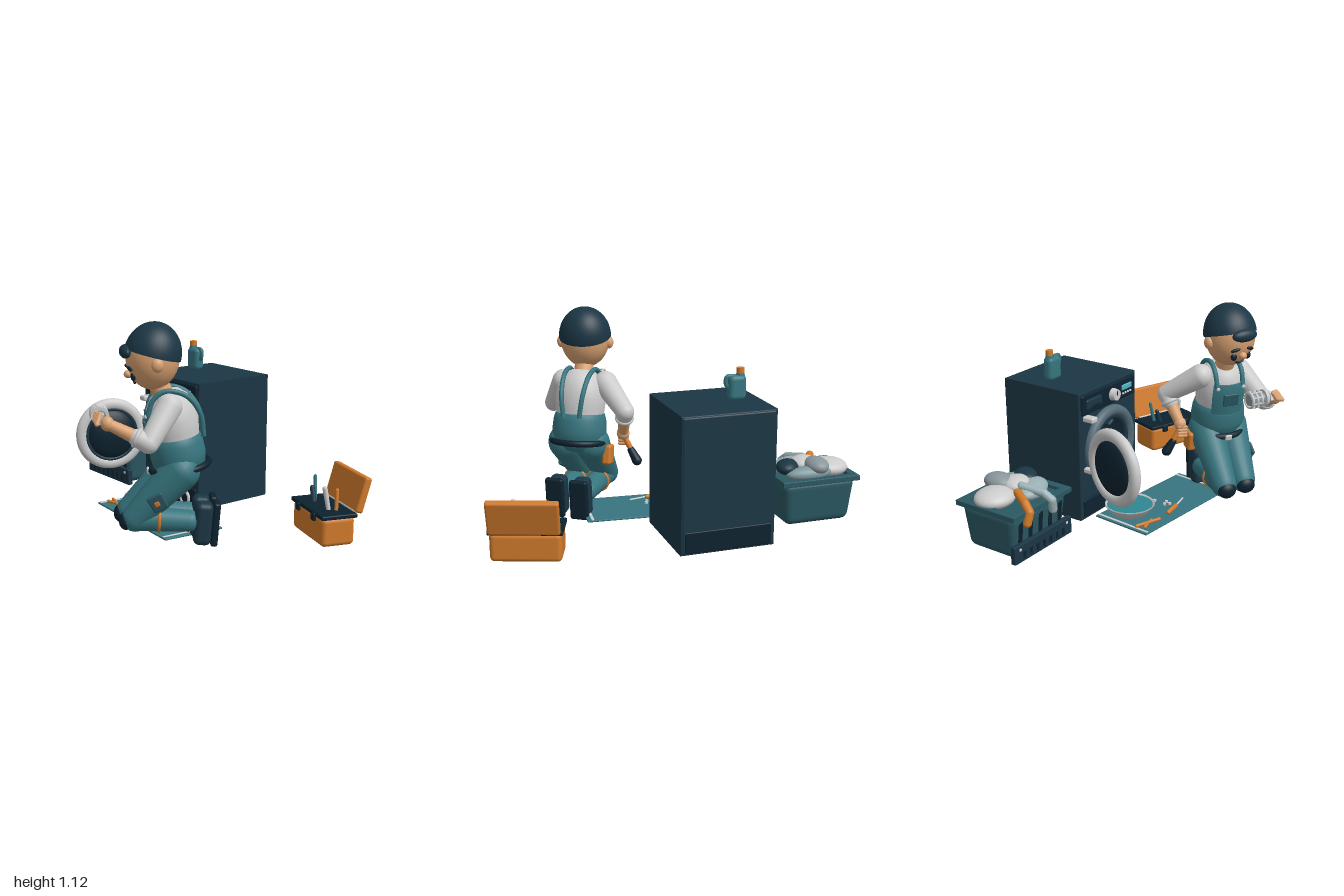
import * as THREE from 'three';
import { RoundedBoxGeometry } from 'three/addons/geometries/RoundedBoxGeometry.js';

const V = (a) => new THREE.Vector3(...a);
const UP = new THREE.Vector3(0, 1, 0);
const NAVY = 0x1b3644, DARK = 0x0d222f, TEAL = 0x37757f, DEEP = 0x2b5862, ORANGE = 0xd07a2c, SKIN = 0xdaa273, GREY = 0xcccccc, STEEL = 0x8a969c;
const mats = {};
const mat = (c) => (mats[c] ??= new THREE.MeshStandardMaterial({ color: c, side: THREE.DoubleSide }));

function add(parent, name, geo, color, pos = [0, 0, 0], rot = [0, 0, 0], scale = [1, 1, 1]) {
  const m = new THREE.Mesh(geo, mat(color));
  m.name = name;
  m.position.set(...pos);
  m.rotation.set(...rot);
  m.scale.set(...scale);
  parent.add(m);
  return m;
}
function group(parent, name, pos = [0, 0, 0], ry = 0) {
  const g = new THREE.Group();
  g.name = name;
  g.position.set(...pos);
  g.rotation.y = ry;
  parent.add(g);
  return g;
}
const box = (w, h, d, r = 0.01) => new RoundedBoxGeometry(w, h, d, 3, Math.min(r, w / 2.01, h / 2.01, d / 2.01));
const cyl = (a, b, h, n = 32) => new THREE.CylinderGeometry(a, b, h, n);
const ball = (p, n, c, pos, s, rot) => add(p, n, new THREE.SphereGeometry(1, 28, 20), c, pos, rot, s);
const lathe = (pts, n = 40, start = 0, len = Math.PI * 2) => new THREE.LatheGeometry(pts.map((p) => new THREE.Vector2(...p)), n, start, len);
const tube = (pts, r) => new THREE.TubeGeometry(new THREE.CatmullRomCurve3(pts.map(V)), 32, r, 10);

// Tapered round-ended limb from a to b
function limb(parent, name, a, b, ra, rb, color) {
  const A = V(a), d = V(b).sub(A), h = d.length(), pts = [];
  for (let i = 0; i <= 6; i++) { const t = (i / 6) * Math.PI / 2; pts.push([ra * Math.sin(t), -ra * Math.cos(t)]); }
  for (let i = 0; i <= 6; i++) { const t = (i / 6) * Math.PI / 2; pts.push([rb * Math.cos(t), h + rb * Math.sin(t)]); }
  const m = add(parent, name, lathe(pts, 24), color, a);
  m.quaternion.setFromUnitVectors(UP, d.normalize());
  return m;
}
// Ring around the line from a towards b
function band(parent, name, a, b, R, r, color) {
  const m = add(parent, name, new THREE.TorusGeometry(R, r, 10, 36), color, a);
  m.quaternion.setFromUnitVectors(new THREE.Vector3(0, 0, 1), V(b).sub(V(a)).normalize());
}
function rectShape(w, h) {
  return new THREE.Shape([[-w / 2, -h / 2], [w / 2, -h / 2], [w / 2, h / 2], [-w / 2, h / 2]].map((p) => new THREE.Vector2(...p)));
}

function washer(root) {
  const g = group(root, 'washingMachine', [-0.178, 0, 0]);
  const face = rectShape(0.49, 0.7);
  face.holes.push(new THREE.Path().absarc(0, 0.015, 0.16, 0, Math.PI * 2, true));
  add(g, 'cabinet', new THREE.ExtrudeGeometry(face, { depth: 0.49, bevelSize: 0.006, bevelThickness: 0.006, bevelSegments: 2, curveSegments: 40 }), NAVY, [0, 0.374, -0.655]);
  add(g, 'backPanel', box(0.49, 0.7, 0.02), NAVY, [0, 0.374, -0.655]);
  add(g, 'backServicePanel', box(0.46, 0.11, 0.01), DARK, [0, 0.085, -0.664]);
  add(g, 'base', box(0.46, 0.02, 0.46), DARK, [0, 0.022, -0.41]);
  // Drum and door seal
  add(g, 'drum', lathe([[0, -0.3], [0.13, -0.3], [0.15, -0.27], [0.16, 0]]), DARK, [0, 0.39, -0.165], [Math.PI / 2, 0, 0]);
  for (let i = 0; i < 6; i++) {
    const a = (i * Math.PI) / 3 + 0.5;
    add(g, 'drumPaddle', box(0.02, 0.05, 0.2), NAVY, [Math.cos(a) * 0.13, 0.39 + Math.sin(a) * 0.13, -0.32], [0, 0, a + Math.PI / 2]);
  }
  add(g, 'doorSeal', new THREE.TorusGeometry(0.18, 0.03, 16, 56), 0x546a75, [0, 0.39, -0.152]);
  add(g, 'innerSeal', new THREE.TorusGeometry(0.147, 0.017, 12, 48), NAVY, [0, 0.39, -0.155]);
  // Control panel
  add(g, 'controlPanel', box(0.47, 0.11, 0.02), DARK, [0, 0.662, -0.157]);
  add(g, 'detergentDrawer', box(0.13, 0.055, 0.02), NAVY, [-0.14, 0.662, -0.147]);
  add(g, 'drawerGrip', box(0.08, 0.012, 0.012), DARK, [-0.14, 0.65, -0.136]);
  add(g, 'programKnob', cyl(0.03, 0.035, 0.035), GREY, [0.027, 0.658, -0.133], [Math.PI / 2, 0, 0]);
  add(g, 'knobMark', box(0.006, 0.025, 0.005), DARK, [0.027, 0.668, -0.115]);
  add(g, 'display', box(0.09, 0.03, 0.012), 0x4fb3bd, [0.15, 0.67, -0.145]);
  for (let i = 0; i < 4; i++) add(g, 'button', box(0.015, 0.012, 0.012), GREY, [0.117 + i * 0.022, 0.637, -0.144]);
  // Filter hatch and drain hose
  add(g, 'kickPanel', box(0.46, 0.1, 0.016), DARK, [0, 0.08, -0.157]);
  add(g, 'filterPort', new THREE.TorusGeometry(0.036, 0.009, 12, 32), GREY, [0.145, 0.07, -0.145]);
  add(g, 'filterHole', cyl(0.034, 0.034, 0.01), DARK, [0.145, 0.07, -0.147], [Math.PI / 2, 0, 0]);
  add(g, 'drainHose', tube([[0.03, 0.1, -0.16], [0.025, 0.1, -0.13], [0.015, 0.07, -0.11], [0, 0.045, -0.07]], 0.012), DARK);
  // Open door
  for (const y of [0.3, 0.587]) add(g, 'hinge', box(0.05, 0.03, 0.07), GREY, [-0.195, y, -0.13]);
  const d = group(g, 'door', [-0.267, 0.39, 0.072], 1.265);
  add(d, 'doorRing', new THREE.TorusGeometry(0.172, 0.034, 16, 56), GREY, [0, 0, 0], [0, 0, 0], [1, 1, 0.85]);
  ball(d, 'innerGlass', DARK, [0, 0, 0.005], [0.146, 0.146, 0.055]);
  add(d, 'glassTrim', new THREE.TorusGeometry(0.146, 0.012, 12, 48), NAVY, [0, 0, 0.015]);
  ball(d, 'outerGlass', DARK, [0, 0, -0.008], [0.146, 0.146, 0.04]);
  // Detergent bottle on top
  const b = group(g, 'detergentBottle', [-0.125, 0.73, -0.43]);
  add(b, 'bottleBody', box(0.095, 0.13, 0.062, 0.025), TEAL, [0, 0.066, 0]);
  add(b, 'bottleNeck', cyl(0.018, 0.024, 0.03), TEAL, [-0.02, 0.135, 0]);
  add(b, 'bottleCap', cyl(0.02, 0.02, 0.03), ORANGE, [-0.02, 0.152, 0]);
  add(b, 'bottleHandle', tube([[0.01, 0.125, 0], [0.052, 0.122, 0], [0.058, 0.09, 0], [0.04, 0.06, 0]], 0.011), TEAL);
}

function basket(root) {
  const g = group(root, 'laundryBasket', [-0.777, 0, -0.31]);
  const geo = box(0.42, 0.24, 0.35, 0.04), p = geo.attributes.position;
  for (let i = 0; i < p.count; i++) { const k = 0.94 + p.getY(i) * 0.5; p.setX(i, p.getX(i) * k); p.setZ(i, p.getZ(i) * k); }
  geo.computeVertexNormals();
  add(g, 'basketBody', geo, DEEP, [0, 0.14, 0]);
  const rim = rectShape(0.435, 0.37);
  rim.holes.push(new THREE.Path(rectShape(0.37, 0.3).getPoints().reverse()));
  add(g, 'basketRim', new THREE.ExtrudeGeometry(rim, { depth: 0.022, bevelSize: 0.005, bevelThickness: 0.004 }), DEEP, [0, 0.274, 0], [Math.PI / 2, 0, 0]);
  for (let i = 0; i < 5; i++) add(g, 'basketSlot', box(0.035, 0.13, 0.02), DARK, [-0.15 + i * 0.075, 0.16, 0.16], [0.1, 0, 0]);
  add(g, 'frontBoard', box(0.44, 0.095, 0.03, 0.006), NAVY, [0, 0.066, 0.172]);
  for (let i = 0; i < 7; i++) add(g, 'boardSlot', box(0.02, 0.04, 0.006), DARK, [-0.15 + i * 0.05, 0.055, 0.187]);
  for (const x of [-0.18, 0.18]) add(g, 'boardClip', box(0.015, 0.015, 0.008), GREY, [x, 0.09, 0.187]);
  // Heap of clothes: x, y, z, radii, turn, colour
  const heap = [[-0.11, 0.29, -0.03, 0.11, 0.05, 0.1, 0, GREY], [-0.01, 0.325, -0.09, 0.065, 0.045, 0.085, 0, STEEL], [0.135, 0.315, -0.04, 0.06, 0.04, 0.08, -0.6, NAVY],
    [0.07, 0.29, 0.05, 0.12, 0.045, 0.08, 0.3, 0x9ab0b3], [0.03, 0.32, -0.01, 0.08, 0.04, 0.07, 0.6, GREY], [0.04, 0.29, -0.11, 0.13, 0.04, 0.05, 0, 0x7f999e]];
  for (const [x, y, z, a, b, c, r, col] of heap) ball(g, 'clothing', col, [x, y, z], [a, b, c], [0, r, 0]);
  const drape = (n, pts, c) => pts.slice(1).forEach((q, i) => limb(g, n, pts[i], q, 0.022, 0.022, c));
  drape('orangeSleeve', [[-0.04, 0.31, 0.06], [-0.1, 0.3, 0.16], [-0.115, 0.27, 0.2], [-0.13, 0.215, 0.195]], ORANGE);
  drape('greySleeve', [[0.0, 0.33, 0.05], [0.04, 0.305, 0.16], [0.055, 0.27, 0.2], [0.065, 0.215, 0.195]], 0x9ab0b3);
}

function toolbox(root) {
  const g = group(root, 'toolbox', [0.782, 0, -0.41], -0.34);
  add(g, 'boxBody', box(0.355, 0.15, 0.18, 0.025), ORANGE, [0, 0.092, 0]);
  add(g, 'boxRim', box(0.37, 0.022, 0.195, 0.006), DARK, [0, 0.172, 0]);
  add(g, 'lid', box(0.352, 0.185, 0.04, 0.012), ORANGE, [0, 0.268, -0.135], [-0.27, 0, 0]);
  add(g, 'hinge', cyl(0.01, 0.01, 0.3, 16), GREY, [0, 0.183, -0.1], [0, 0, Math.PI / 2]);
  for (const x of [-0.09, 0.09]) add(g, 'latch', box(0.035, 0.04, 0.015, 0.004), DARK, [x, 0.158, 0.1]);
  limb(g, 'screwdriverHandle', [-0.1, 0.17, 0], [-0.125, 0.3, -0.01], 0.011, 0.009, TEAL);
  limb(g, 'chisel', [-0.07, 0.17, 0.02], [-0.095, 0.25, 0.02], 0.016, 0.012, NAVY);
  limb(g, 'spanner', [0.08, 0.17, 0.01], [0.07, 0.29, 0.03], 0.011, 0.013, GREY);
  limb(g, 'pliers', [0.1, 0.17, -0.02], [0.085, 0.28, -0.03], 0.01, 0.01, ORANGE);
}

function mat_(root) {
  const g = group(root, 'workMat', [0.01, 0.02, 0.075], -0.09);
  add(g, 'matSheet', box(0.73, 0.01, 0.35, 0.003), TEAL);
  for (const x of [-0.345, 0.335]) add(g, 'matStripe', box(0.015, 0.003, 0.34, 0.001), GREY, [x, 0.006, 0]);
  add(g, 'basin', lathe([[0, 0], [0.1, 0], [0.128, 0.042], [0.136, 0.046], [0.13, 0.05], [0.12, 0.035]]), GREY, [-0.21, 0.005, -0.067]);
  add(g, 'water', cyl(0.124, 0.12, 0.006, 40), 0x2f8791, [-0.21, 0.044, -0.067]);
  limb(g, 'spannerShaft', [-0.34, 0.015, 0.09], [-0.2, 0.015, 0.13], 0.009, 0.009, ORANGE);
  limb(g, 'pliersArm', [-0.32, 0.015, 0.13], [-0.23, 0.015, 0.1], 0.009, 0.006, ORANGE);
  limb(g, 'driverHandle', [-0.11, 0.017, 0.12], [-0.02, 0.017, 0.1], 0.012, 0.012, ORANGE);
  limb(g, 'driverShaft', [-0.02, 0.017, 0.1], [0.08, 0.017, 0.07], 0.005, 0.005, GREY);
  for (const [x, z] of [[-0.03, -0.04], [0, 0.02], [-0.03, 0.03], [-0.01, 0.05]]) add(g, 'bolt', cyl(0.01, 0.01, 0.012, 6), GREY, [x, 0.01, z]);
}

function head(p) {
  const h = group(p, 'head', [0.29, 0.955, 0.308], -0.45);
  ball(h, 'face', SKIN, [0, 0, 0], [0.136, 0.165, 0.134]);
  add(h, 'cap', new THREE.SphereGeometry(1, 36, 20, 0, Math.PI * 2, 0, Math.PI / 2), NAVY, [0, 0.008, 0], [-0.25, 0, 0], [0.143, 0.164, 0.143]);
  ball(h, 'capBrim', NAVY, [0, 0.028, 0.135], [0.075, 0.034, 0.03], [-0.2, 0, 0]);
  ball(h, 'nose', SKIN, [0, -0.085, 0.122], [0.022, 0.02, 0.022]);
  add(h, 'mouth', tube([[-0.025, -0.122, 0.092], [0, -0.13, 0.09], [0.025, -0.122, 0.092]], 0.005), DARK);
  for (const s of [-1, 1]) {
    ball(h, 'ear', SKIN, [s * 0.135, -0.025, 0], [0.022, 0.034, 0.03]);
    ball(h, 'eye', DARK, [s * 0.043, -0.09, 0.103], [0.018, 0.021, 0.014]);
    ball(h, 'eyebrow', DARK, [s * 0.046, -0.05, 0.122], [0.027, 0.009, 0.01], [0, s * 0.3, -s * 0.25]);
  }
}

function repairer(root) {
  const p = group(root, 'repairer');
  head(p);
  limb(p, 'neck', [0.32, 0.74, 0.25], [0.3, 0.83, 0.29], 0.055, 0.05, SKIN);
  // Torso and overalls
  const t = group(p, 'torso', [0.36, 0.44, 0.2], -0.6);
  t.rotation.order = 'YXZ';
  t.rotation.x = 0.16;
  const w = [1.02, 1, 0.95];
  add(t, 'shirt', lathe([[0.12, 0.05], [0.132, 0.14], [0.138, 0.2], [0.128, 0.27], [0.1, 0.32], [0.06, 0.35], [0, 0.36]]), GREY, [0, 0, 0], [0, 0, 0], w);
  add(t, 'trouserTop', lathe([[0, -0.11], [0.09, -0.09], [0.138, -0.04], [0.148, 0.02], [0.143, 0.08], [0.134, 0.115], [0.12, 0.118]]), TEAL, [0, 0, 0], [0, 0, 0], w);
  add(t, 'bib', lathe([[0.14, 0.09], [0.143, 0.14], [0.147, 0.2], [0.139, 0.265], [0.128, 0.268]], 20, -0.7, 1.4), TEAL, [0, 0, 0], [0, 0, 0], w);
  add(t, 'bibPocket', box(0.09, 0.07, 0.014), DEEP, [0, 0.185, 0.141]);
  add(t, 'belt', new THREE.TorusGeometry(0.146, 0.017, 12, 48), DARK, [0, -0.04, 0], [Math.PI / 2, 0, 0]);
  add(t, 'buckle', box(0.04, 0.032, 0.015), GREY, [0, -0.04, 0.162]);
  add(t, 'toolPouch', box(0.05, 0.11, 0.075, 0.015), ORANGE, [-0.165, -0.105, 0.02]);
  for (const s of [-1, 1]) {
    add(t, 'strap', tube([[s * 0.075, 0.25, 0.118], [s * 0.078, 0.33, 0.075], [s * 0.075, 0.358, 0.01], [s * 0.07, 0.32, -0.085], [s * 0.06, 0.22, -0.14], [s * 0.045, 0.1, -0.14]], 0.013), TEAL);
    ball(t, 'strapButton', GREY, [s * 0.075, 0.25, 0.128], [0.011, 0.011, 0.007]);
  }
  // Kneeling legs and upright boots
  const legs = [['left', [0.425, 0.39, 0.24], [0.285, 0.145, 0.415], [0.45, 0.13, 0.2], [0.505, 0.12, 0.13]],
    ['right', [0.3, 0.39, 0.165], [0.165, 0.145, 0.365], [0.34, 0.13, 0.12], [0.39, 0.115, 0.06]]];
  for (const [side, hip, knee, ankle, boot] of legs) {
    limb(p, side + 'Thigh', hip, knee, 0.1, 0.07, TEAL);
    limb(p, side + 'Shin', knee, ankle, 0.066, 0.055, TEAL);
    ball(p, side + 'KneePad', DARK, [knee[0] - 0.028, knee[1] - 0.015, knee[2] + 0.038], [0.052, 0.046, 0.036], [0, -0.6, 0]);
    band(p, side + 'KneeStrap', V(knee).lerp(V(ankle), 0.45).toArray(), ankle, 0.061, 0.008, ORANGE);
    const b = group(p, side + 'Boot', boot, -0.6);
    add(b, 'bootUpper', box(0.095, 0.22, 0.09, 0.03), NAVY, [0, 0, 0.02], [-0.08, 0, 0]);
    add(b, 'bootSole', box(0.102, 0.225, 0.035, 0.012), DARK, [0, 0, -0.04], [-0.08, 0, 0]);
  }
  add(p, 'thighPocket', box(0.02, 0.09, 0.08, 0.008), DEEP, [0.42, 0.25, 0.375], [0.6, -0.6, 0.1]);
  add(p, 'pocketTab', box(0.012, 0.025, 0.025, 0.004), ORANGE, [0.428, 0.245, 0.383], [0.6, -0.6, 0.1]);
  // Arms: shoulder, elbow, wrist
  const arms = [['left', [0.415, 0.72, 0.3], [0.445, 0.565, 0.445], [0.3, 0.655, 0.585]], ['right', [0.215, 0.72, 0.175], [0.16, 0.6, -0.01], [0.14, 0.45, 0.095]]];
  for (const [side, sh, el, wr] of arms) {
    const cuff = V(el).lerp(V(wr), 0.28).toArray();
    limb(p, side + 'UpperSleeve', sh, el, 0.066, 0.05, GREY);
    limb(p, side + 'LowerSleeve', el, cuff, 0.05, 0.044, GREY);
    band(p, side + 'Cuff', cuff, wr, 0.04, 0.012, GREY);
    limb(p, side + 'Forearm', cuff, wr, 0.036, 0.027, SKIN);
    ball(p, side + 'Hand', SKIN, wr, [0.035, 0.037, 0.033]);
  }
  for (let i = 0; i < 4; i++) {
    limb(p, 'leftFinger', [0.285 - i * 0.013, 0.655 + i * 0.004, 0.635 - i * 0.004], [0.27 - i * 0.013, 0.7, 0.605], 0.011, 0.01, SKIN);
    limb(p, 'rightFinger', [0.115, 0.44 - i * 0.017, 0.105], [0.15, 0.435 - i * 0.017, 0.125], 0.011, 0.01, SKIN);
  }
  // Screwdriver in the right hand
  limb(p, 'toolGrip', [0.145, 0.46, 0.11], [0.105, 0.37, 0.08], 0.015, 0.015, ORANGE);
  limb(p, 'toolHead', [0.1, 0.355, 0.075], [0.075, 0.3, 0.05], 0.02, 0.027, DARK);
  // Removed pump filter in the left hand
  const f = group(p, 'pumpFilter', [0.195, 0.675, 0.56]);
  f.quaternion.setFromUnitVectors(UP, V([-0.88, 0, -0.46]).normalize());
  add(f, 'filterCore', cyl(0.03, 0.03, 0.12), STEEL, [0, 0.02, 0]);
  add(f, 'filterCap', cyl(0.045, 0.045, 0.016), GREY, [0, -0.015, 0]);
  add(f, 'filterGrip', box(0.05, 0.05, 0.016, 0.006), GREY, [0, -0.045, 0]);
  for (let i = 0; i < 3; i++) add(f, 'filterRing', new THREE.TorusGeometry(0.04, 0.007, 8, 32), GREY, [0, 0.02 + i * 0.028, 0], [Math.PI / 2, 0, 0]);
  for (let i = 0; i < 8; i++) add(f, 'filterRib', cyl(0.005, 0.005, 0.07, 8), GREY, [0.041 * Math.cos(i * Math.PI / 4), 0.045, 0.041 * Math.sin(i * Math.PI / 4)]);
}

export function createModel() {
  const root = new THREE.Group();
  root.name = 'washerRepairScene';
  [washer, basket, toolbox, mat_, repairer].forEach((build) => build(root));
  return root;
}
